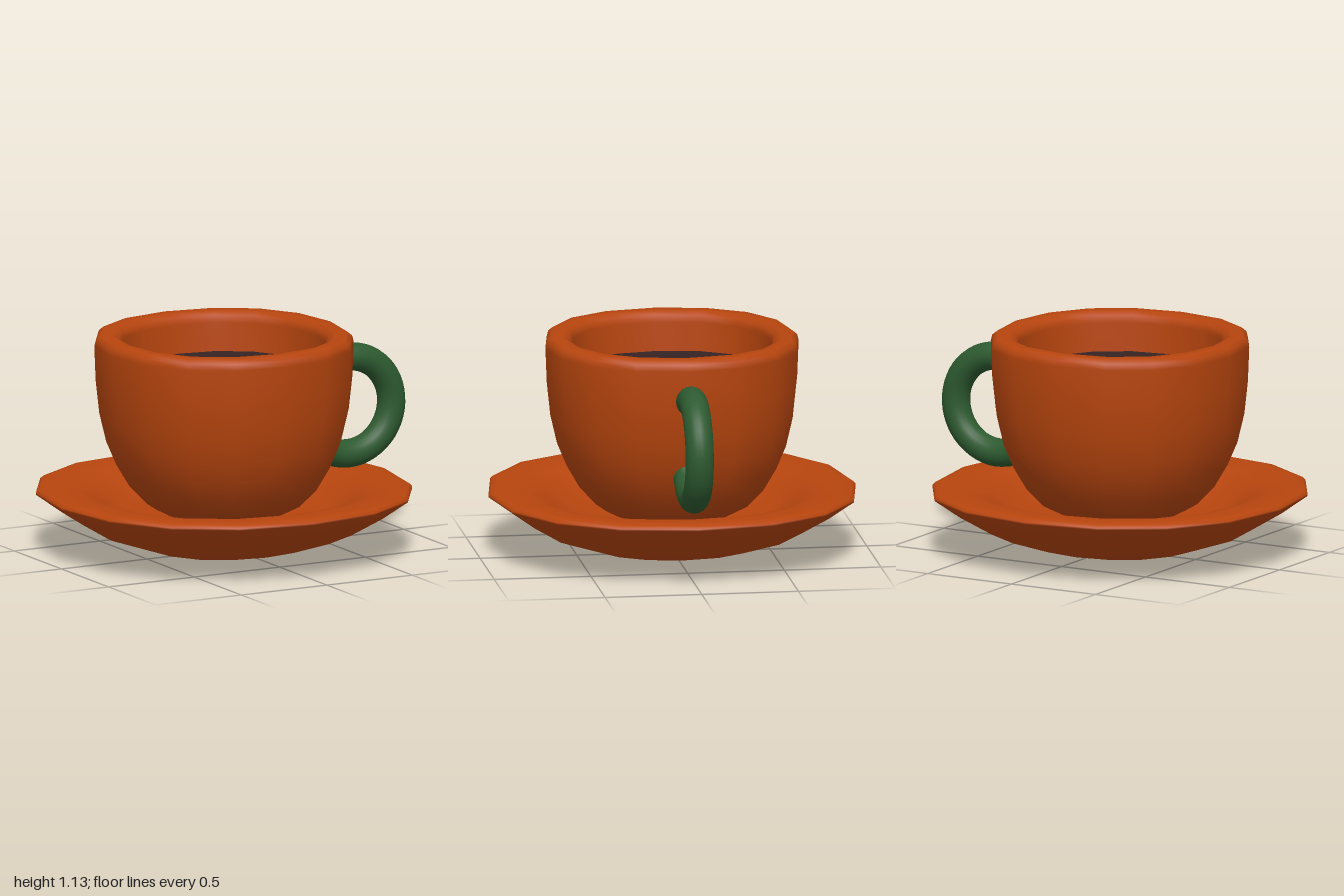
import * as THREE from 'three';
import { mergeVertices } from 'three/addons/utils/BufferGeometryUtils.js';

const SIDES = 16;
const AXIS_X = -0.05; // cup and saucer share this axis

// Unit plan outline: four slightly square Bezier quarters
function outline(i) {
  const k = 0.61, quarter = Math.floor((i % SIDES) / 4), t = (i % 4) / 4, s = 1 - t;
  const b1 = 3 * s * s * t, b2 = 3 * s * t * t;
  const x = b1 * k + b2 + t * t * t;
  const z = s * s * s + b1 + b2 * k;
  return [[x, z], [z, -x], [-x, -z], [-z, x]][quarter];
}

// Revolve a profile, then move each column onto the plan outline
function revolve(profile) {
  const points = profile.map(([r, y]) => new THREE.Vector2(r, y));
  const geo = new THREE.LatheGeometry(points, SIDES);
  const pos = geo.attributes.position;
  for (let i = 0; i <= SIDES; i++) {
    const [x, z] = outline(i);
    profile.forEach(([r, y], j) => pos.setXYZ(i * profile.length + j, r * x, y, r * z));
  }
  geo.deleteAttribute('uv');
  geo.deleteAttribute('normal');
  const merged = mergeVertices(geo, 1e-4);
  merged.computeVertexNormals();
  return merged;
}

export function createModel() {
  const glaze = new THREE.MeshStandardMaterial({ color: 0xb7450e });
  glaze.name = 'rust glaze';
  const green = new THREE.MeshStandardMaterial({ color: 0x2d5a30 });
  green.name = 'dark green';
  const coffee = new THREE.MeshStandardMaterial({ color: 0x362323 });
  coffee.name = 'coffee brown';

  const group = new THREE.Group();
  group.name = 'cupAndSaucer';
  const add = (name, geo, material, x, y = 0) => {
    const mesh = new THREE.Mesh(geo, material);
    mesh.name = name;
    mesh.position.set(x, y, 0);
    group.add(mesh);
    return mesh;
  };

  // Saucer: rounded underside, thin rim, broad ledge and sunken well
  add('saucer', revolve([
    [0, 0], [0.2, 0.009], [0.44, 0.043], [0.66, 0.118], [0.82, 0.214], [0.95, 0.308],
    [0.95, 0.318], [0.935, 0.333], [0.89, 0.341], [0.8, 0.335], [0.73, 0.322],
    [0.66, 0.293], [0.6, 0.25], [0.52, 0.21], [0.4, 0.185], [0, 0.18],
  ]), glaze, AXIS_X);

  // Cup: outer bowl, rounded rim and inner wall
  add('cup', revolve([
    [0, 0.183], [0.2, 0.188], [0.31, 0.208], [0.39, 0.25], [0.477, 0.342], [0.545, 0.46],
    [0.595, 0.58], [0.63, 0.73], [0.648, 0.9], [0.655, 1.08], [0.647, 1.112], [0.622, 1.133],
    [0.565, 1.133], [0.53, 1.115], [0.515, 1.08], [0.515, 0.93], [0.49, 0.75],
    [0.42, 0.5], [0.28, 0.3], [0, 0.24],
  ]), glaze, AXIS_X);

  // Drink surface meeting the inner wall
  add('drink', revolve([[0.515, 0.93], [0, 0.93]]), coffee, AXIS_X);

  // Handle: open ring whose ends sink into the cup wall
  const start = THREE.MathUtils.degToRad(-148), end = THREE.MathUtils.degToRad(116);
  const handle = new THREE.TorusGeometry(0.253, 0.073, 20, 40, end - start);
  handle.rotateZ(start);
  add('handle', handle, green, 0.674, 0.685);

  return group;
}
